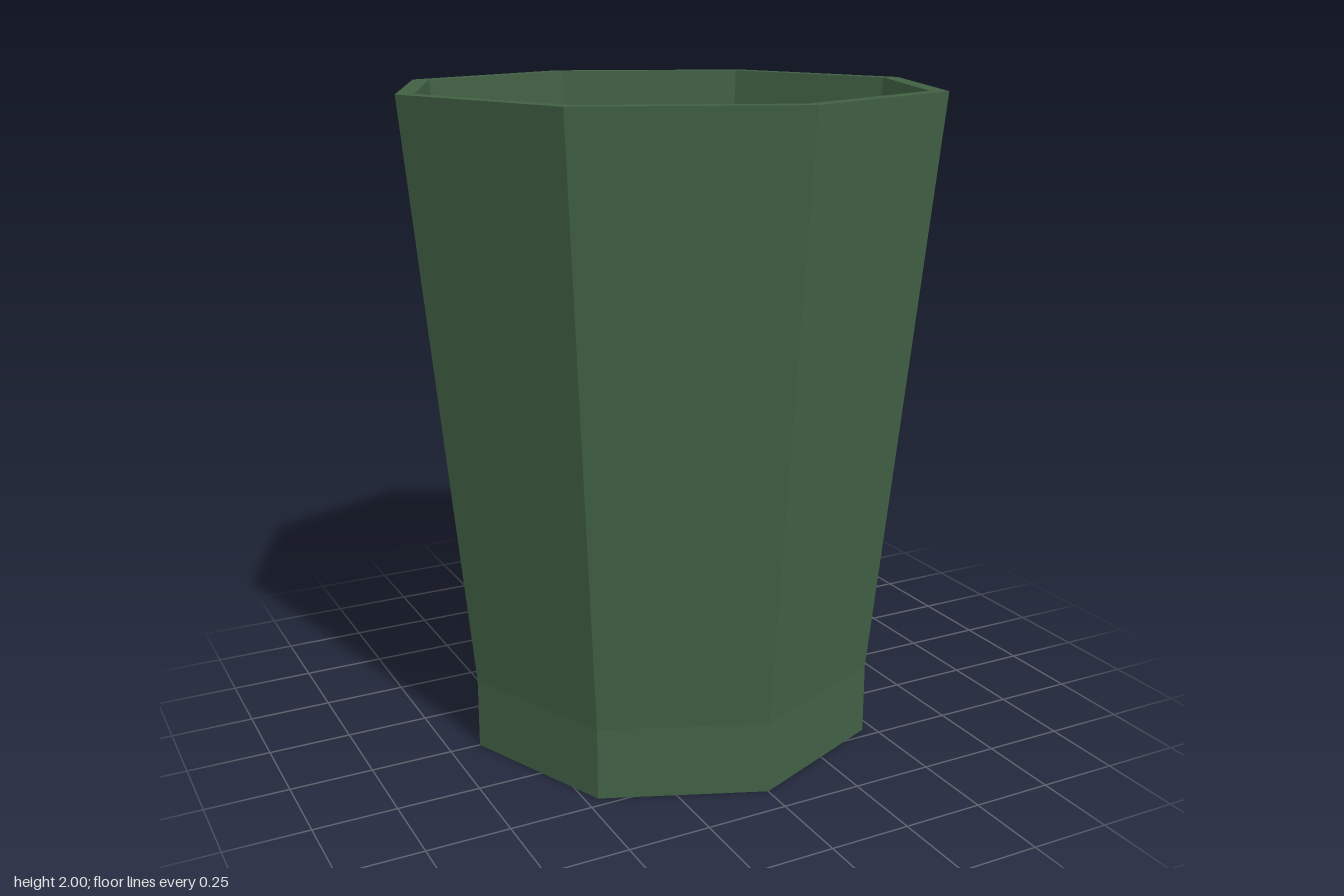
import * as THREE from 'three';

const SIDES = 8;

export function createModel() {
  const group = new THREE.Group();
  group.name = 'cup';
  const material = new THREE.MeshStandardMaterial({ color: 0x416044, flatShading: true });

  // Turns a [radius, height] profile into an eight-sided part
  const addPart = (name, profile) => {
    const points = profile.map(([r, y]) => new THREE.Vector2(r, y));
    const mesh = new THREE.Mesh(new THREE.LatheGeometry(points, SIDES), material);
    mesh.name = name;
    group.add(mesh);
  };

  // Underside, straight foot and flared outer wall
  addPart('outerWall', [[0, 0], [0.655, 0], [0.655, 0.22], [0.83, 2]]);
  // Flat lip
  addPart('rim', [[0.83, 2], [0.775, 2]]);
  // Tapered inner wall down to the raised floor
  addPart('innerWall', [[0.775, 2], [0.612, 0.22]]);
  addPart('floor', [[0.612, 0.22], [0, 0.22]]);

  return group;
}
